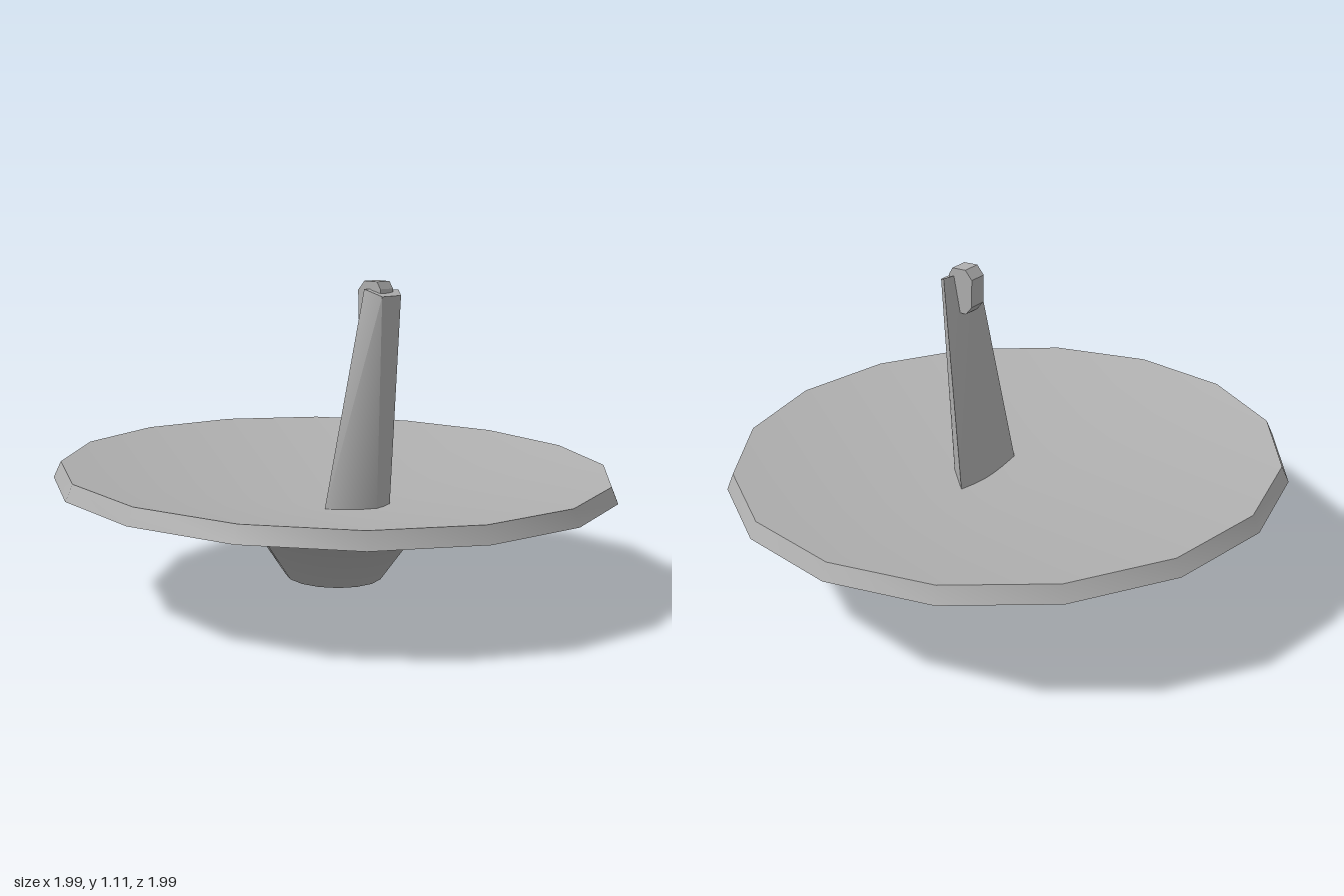
import * as THREE from 'three';
import { mergeVertices, toCreasedNormals } from 'three/addons/utils/BufferGeometryUtils.js';

const grey = new THREE.MeshStandardMaterial({ color: 0xb0b0b0 });
grey.name = 'plain grey';

function addMesh(parent, name, geometry) {
  const mesh = new THREE.Mesh(geometry, grey);
  mesh.name = name;
  parent.add(mesh);
  return mesh;
}

// Sixteen-sided surface of revolution, smooth within itself
function turned(profile) {
  let g = new THREE.LatheGeometry(profile.map(([r, y]) => new THREE.Vector2(r, y)), 16, 0.09);
  g.deleteAttribute('uv');
  g.deleteAttribute('normal');
  g = mergeVertices(g, 1e-4);
  g.computeVertexNormals();
  return g;
}

// Closed solid between two matching rings of [x, y, z] corners
function loft(bottom, top) {
  const n = bottom.length;
  const index = [];
  for (let i = 0; i < n; i++) {
    const j = (i + 1) % n;
    index.push(i, j, n + j, i, n + j, n + i);
  }
  for (let i = 1; i < n - 1; i++) {
    index.push(0, i + 1, i, n, n + i, n + i + 1);
  }
  const g = new THREE.BufferGeometry();
  g.setAttribute('position', new THREE.Float32BufferAttribute([...bottom, ...top].flat(), 3));
  g.setIndex(index);
  return toCreasedNormals(g, 0.95);
}

export function createModel() {
  const model = new THREE.Group();
  model.name = 'dishWithMast';

  // Shallow dish, leaning slightly toward +x and +z
  const dish = new THREE.Group();
  dish.name = 'dish';
  dish.quaternion.setFromUnitVectors(
    new THREE.Vector3(0, 1, 0),
    new THREE.Vector3(0.025, 1, 0.025).normalize()
  );
  dish.position.set(-0.01, 0, -0.01);
  model.add(dish);
  addMesh(dish, 'underside', turned([[0, 0], [0.175, 0.045], [0.315, 0.25], [1, 0.4]]));
  addMesh(dish, 'rim', turned([[1, 0.4], [0.975, 0.457]]));
  addMesh(dish, 'bowl', turned([[0.975, 0.457], [0, 0.3]]));

  // Tapered mast: flat at the back, rounded at the front
  addMesh(model, 'mast', loft(
    [[-0.045, 0.3, 0.18], [0.14, 0.3, 0.183], [0.187, 0.3, 0.09], [0.17, 0.3, -0.07]],
    [[0.095, 1.085, 0.14], [0.155, 1.062, 0.197], [0.222, 1.062, 0.115], [0.215, 1.08, 0.067]]
  ));

  // Hook folded over the top of the mast
  const outline = [[0.145, 0.95], [0.12, 0.98], [0.118, 1.08], [0.145, 1.112],
    [0.2, 1.11], [0.215, 1.085], [0.215, 1.04], [0.18, 0.95]];
  const shape = new THREE.Shape(outline.map(([d, y]) => new THREE.Vector2(d, y)));
  const hook = new THREE.ExtrudeGeometry(shape, { depth: 0.07, bevelEnabled: false });
  hook.translate(0, 0, -0.045);
  hook.rotateY(-0.69);
  addMesh(model, 'hook', hook);

  return model;
}
